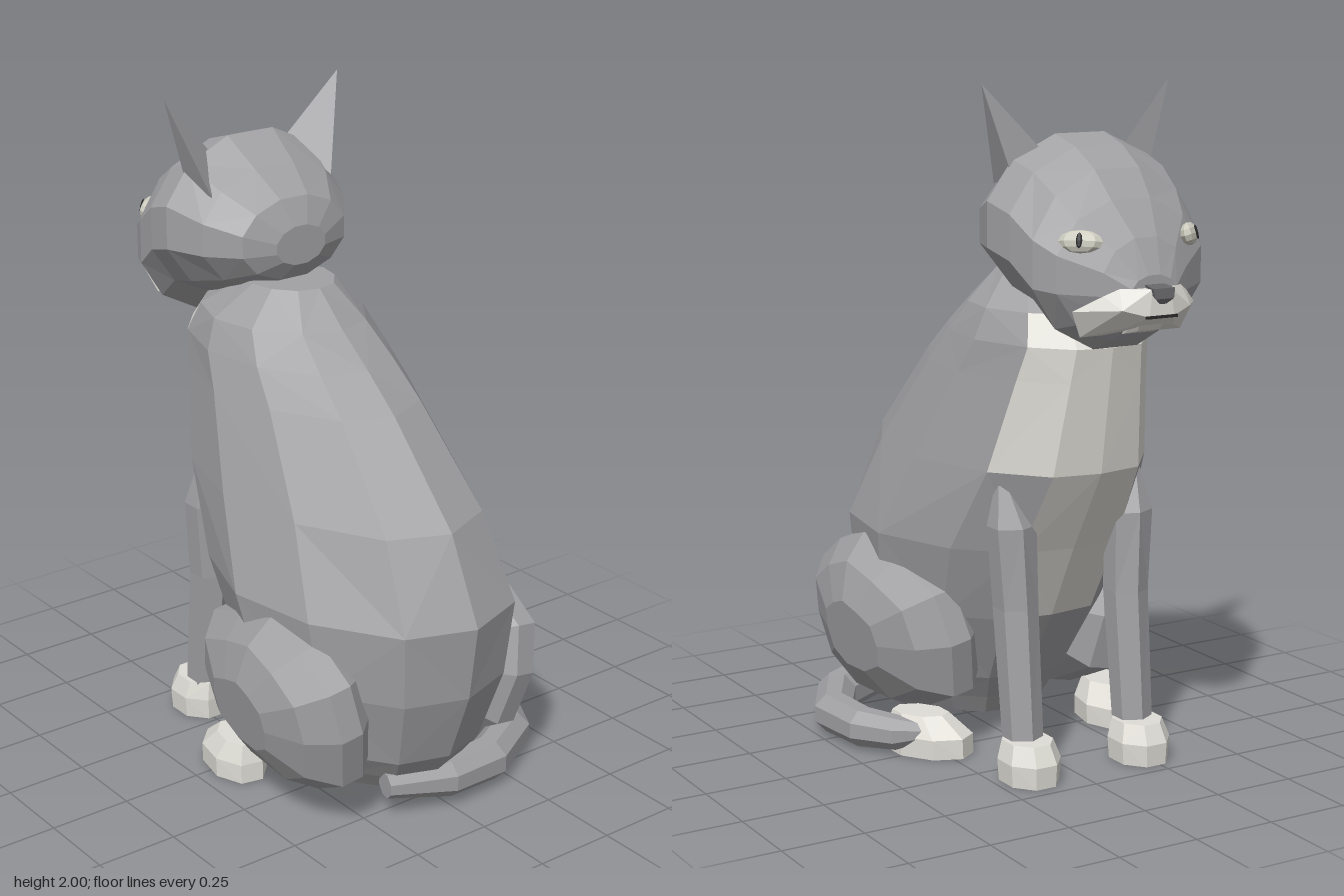
import * as THREE from 'three';
import { ConvexGeometry } from 'three/addons/geometries/ConvexGeometry.js';

const V = (x, y, z) => new THREE.Vector3(x, y, z);
const mat = (name, color) => {
  const m = new THREE.MeshStandardMaterial({ color });
  m.name = name;
  return m;
};

// Faceted skin over rings of points; pick(row, column) chooses the material index.
function loft(rings, pick = () => 0) {
  const buckets = [[], []];
  const n = rings[0].length;
  const tri = (m, ...p) => p.forEach(v => buckets[m].push(v.x, v.y, v.z));
  for (let i = 0; i < rings.length - 1; i++) {
    for (let j = 0; j < n; j++) {
      const k = (j + 1) % n, m = pick(i, j);
      const [a, b, c, d] = [rings[i][j], rings[i][k], rings[i + 1][k], rings[i + 1][j]];
      if ((i + j) % 2) { tri(m, a, b, c); tri(m, a, c, d); }
      else { tri(m, a, b, d); tri(m, b, c, d); }
    }
  }
  const first = rings[0], last = rings[rings.length - 1];
  for (let j = 1; j < n - 1; j++) {
    tri(0, first[0], first[j + 1], first[j]);
    tri(0, last[0], last[j], last[j + 1]);
  }
  const g = new THREE.BufferGeometry();
  g.setAttribute('position', new THREE.Float32BufferAttribute(buckets.flat(), 3));
  g.addGroup(0, buckets[0].length / 3, 0);
  if (buckets[1].length) g.addGroup(buckets[0].length / 3, buckets[1].length / 3, 1);
  g.computeVertexNormals();
  return g;
}

// n points around an oval in the plane of u and v
const oval = (n, c, u, v, turn = 0) => Array.from({ length: n }, (_, j) => {
  const a = (j / n) * Math.PI * 2 + turn;
  return c.clone().addScaledVector(u, Math.cos(a)).addScaledVector(v, Math.sin(a));
});

// Upright stack of ovals: [y, x, z, halfWidth, halfDepth]
const stack = (n, rows, turn) => rows.map(([y, x, z, w, d]) =>
  oval(n, V(x, y, z), V(0, 0, d), V(w, 0, 0), turn));

function flat(g) {
  const f = g.toNonIndexed();
  f.computeVertexNormals();
  return f;
}

export function createModel() {
  const fur = mat('grey fur', 0xa1a1a4);
  const white = mat('white fur', 0xdfddd6);
  const noseGrey = mat('nose grey', 0x68686b);
  const eyeColor = mat('eye', 0xcdccbf);
  const dark = mat('pupil and mouth', 0x2a2a2c);

  const root = new THREE.Group();
  root.name = 'sittingCat';
  const cat = new THREE.Group();
  cat.name = 'cat';
  cat.position.x = -0.045;
  root.add(cat);
  const add = (name, geo, m, parent = cat) => {
    const mesh = new THREE.Mesh(geo, m);
    mesh.name = name;
    parent.add(mesh);
    return mesh;
  };

  // Body outline from spine to breastbone as [z, x], mirrored to close the ring
  const half = [[1, 0], [0.86, 0.5], [0.4, 0.88], [-0.14, 1], [-0.66, 0.77], [-0.95, 0.41], [-1, 0]];
  const outline = [...half, ...half.slice(1, 6).reverse().map(([z, x]) => [z, -x])];
  // [y, back z, front z, half width], with a white bib on the front columns
  const bodyRows = [
    [0.06, 0.52, 0.06, 0.2], [0.12, 0.58, 0.02, 0.24], [0.2, 0.64, -0.04, 0.3],
    [0.42, 0.72, -0.18, 0.37], [0.65, 0.75, -0.3, 0.405], [0.9, 0.63, -0.445, 0.35],
    [1.17, 0.37, -0.485, 0.285], [1.27, 0.25, -0.5, 0.262], [1.36, 0.13, -0.43, 0.23],
    [1.46, 0.02, -0.25, 0.13],
  ];
  const bodyRings = bodyRows.map(([y, b, f, w]) =>
    outline.map(([z, x]) => V(x * w, y, (b + f) / 2 + z * (b - f) / 2)));
  add('body', loft(bodyRings, (i, j) => {
    if (i >= 5 && i <= 7) return j >= 4 && j <= 7 ? 1 : 0;
    return (i === 4 || i === 3) && (j === 5 || j === 6) ? 1 : 0;
  }), [fur, white]);

  // Head: [z, bottom y, top y, half width]
  const headRows = [
    [-0.07, 1.51, 1.63, 0.09], [-0.105, 1.46, 1.71, 0.19], [-0.2, 1.41, 1.785, 0.265],
    [-0.32, 1.365, 1.865, 0.312], [-0.42, 1.34, 1.835, 0.3], [-0.51, 1.265, 1.78, 0.28],
    [-0.58, 1.3, 1.7, 0.245], [-0.655, 1.35, 1.6, 0.14], [-0.7, 1.4, 1.5, 0.075],
  ];
  add('head', loft(headRows.map(([z, b, t, w]) =>
    oval(12, V(0, (b + t) / 2, z), V(0, (t - b) / 2, 0), V(w, 0, 0), Math.PI / 12))), fur);

  // Muzzle, chin, nose and mouth
  const both = pts => new ConvexGeometry(pts.flatMap(([x, y, z]) => [V(x, y, z), V(-x, y, z)]));
  add('muzzle', both([
    [0.2, 1.4, -0.6], [0.165, 1.325, -0.585], [0.135, 1.445, -0.655], [0.1, 1.465, -0.68],
    [0.11, 1.41, -0.712], [0.03, 1.465, -0.735], [0.04, 1.39, -0.738], [0.08, 1.355, -0.675],
  ]), white);
  add('chin', both([
    [0.06, 1.38, -0.62], [0.045, 1.375, -0.695], [0.035, 1.345, -0.675], [0.05, 1.33, -0.62],
  ]), white);
  add('nose', both([
    [0.03, 1.475, -0.69], [0.035, 1.468, -0.747], [0.03, 1.44, -0.75], [0.01, 1.425, -0.742],
  ]), noseGrey);
  add('mouth', new THREE.BoxGeometry(0.1, 0.008, 0.008), dark).position.set(0, 1.39, -0.737);

  // Tail curled around one side: [x, y, z, radius]
  const tailRows = [
    [-0.15, 0.105, 0.53, 0.04], [0.05, 0.085, 0.57, 0.062], [0.23, 0.074, 0.55, 0.067],
    [0.4, 0.069, 0.452, 0.066], [0.492, 0.067, 0.29, 0.064], [0.478, 0.067, 0.12, 0.06],
    [0.415, 0.067, 0.02, 0.052], [0.35, 0.07, -0.025, 0.03],
  ];
  const tailPts = tailRows.map(([x, y, z]) => V(x, y, z));
  add('tail', loft(tailRows.map((r, i) => {
    const t = tailPts[Math.min(i + 1, 7)].clone().sub(tailPts[Math.max(i - 1, 0)]).normalize();
    const side = t.clone().cross(V(0, 1, 0)).normalize();
    return oval(8, tailPts[i], V(0, r[3], 0), side.multiplyScalar(r[3]), Math.PI / 8);
  })), fur);

  // Haunch side outline as [y, z], swelling and shrinking across its width
  const thigh = [
    [0.285, 0.05], [0.235, 0.2], [0.15, 0.33], [0, 0.355], [-0.17, 0.31], [-0.26, 0.15],
    [-0.26, -0.1], [-0.16, -0.32], [0.01, -0.355], [0.16, -0.305], [0.235, -0.12],
  ];
  const swell = [[-0.165, 0.4], [-0.115, 0.78], [-0.035, 1], [0.035, 1], [0.115, 0.78], [0.165, 0.4]];
  const haunchRings = swell.map(([x, k]) => thigh.map(([y, z]) => V(x, y * k, z * k)));

  for (const s of [1, -1]) {
    const side = s > 0 ? 'left' : 'right';

    // Ear
    add(side + 'Ear', new ConvexGeometry([
      V(s * 0.31, 2, -0.305), V(s * 0.135, 1.815, -0.335),
      V(s * 0.215, 1.715, -0.21), V(s * 0.225, 1.74, -0.33),
    ]), fur);

    // Almond eye with slit pupil
    const eye = new THREE.Group();
    eye.name = side + 'Eye';
    eye.position.set(s * 0.178, 1.59, -0.606);
    eye.lookAt(s * 0.82, 1.85, -1.3);
    cat.add(eye);
    add('eyeball', flat(new THREE.SphereGeometry(1, 8, 6).scale(0.062, 0.032, 0.022)), eyeColor, eye);
    add('pupil', flat(new THREE.SphereGeometry(1, 6, 4).scale(0.009, 0.022, 0.004)), dark, eye)
      .position.z = 0.021;

    // Front leg and paw
    const x = s * 0.19;
    add(side + 'FrontLeg', loft(stack(6, [
      [0.09, x, -0.332, 0.06, 0.057], [0.5, x, -0.288, 0.066, 0.067],
      [0.74, x + s * 0.01, -0.283, 0.074, 0.064], [0.86, x + s * 0.03, -0.27, 0.025, 0.022],
    ])), fur);
    add(side + 'FrontPaw', loft(stack(8, [
      [0, x, -0.365, 0.085, 0.103], [0.065, x, -0.365, 0.09, 0.106], [0.12, x, -0.355, 0.072, 0.088],
    ], Math.PI / 8)), white);

    // Haunch, leaning inward at the bottom
    const haunch = add(side + 'Haunch', loft(haunchRings), fur);
    haunch.position.set(s * 0.295, 0.345, 0.245);
    haunch.rotation.set(0, s * 0.08, -s * 0.18);

    // Hind paw, toes turned in, more so on the tail side
    const paw = add(side + 'HindPaw', loft(stack(8, [
      [0, 0, 0, 0.09, 0.14], [0.06, 0, 0, 0.092, 0.138], [0.12, 0, 0.03, 0.06, 0.09],
    ], Math.PI / 8)), white);
    paw.position.set(s * 0.315, 0, 0.005);
    paw.rotation.y = s > 0 ? 0.6 : -0.2;
  }
  return root;
}
